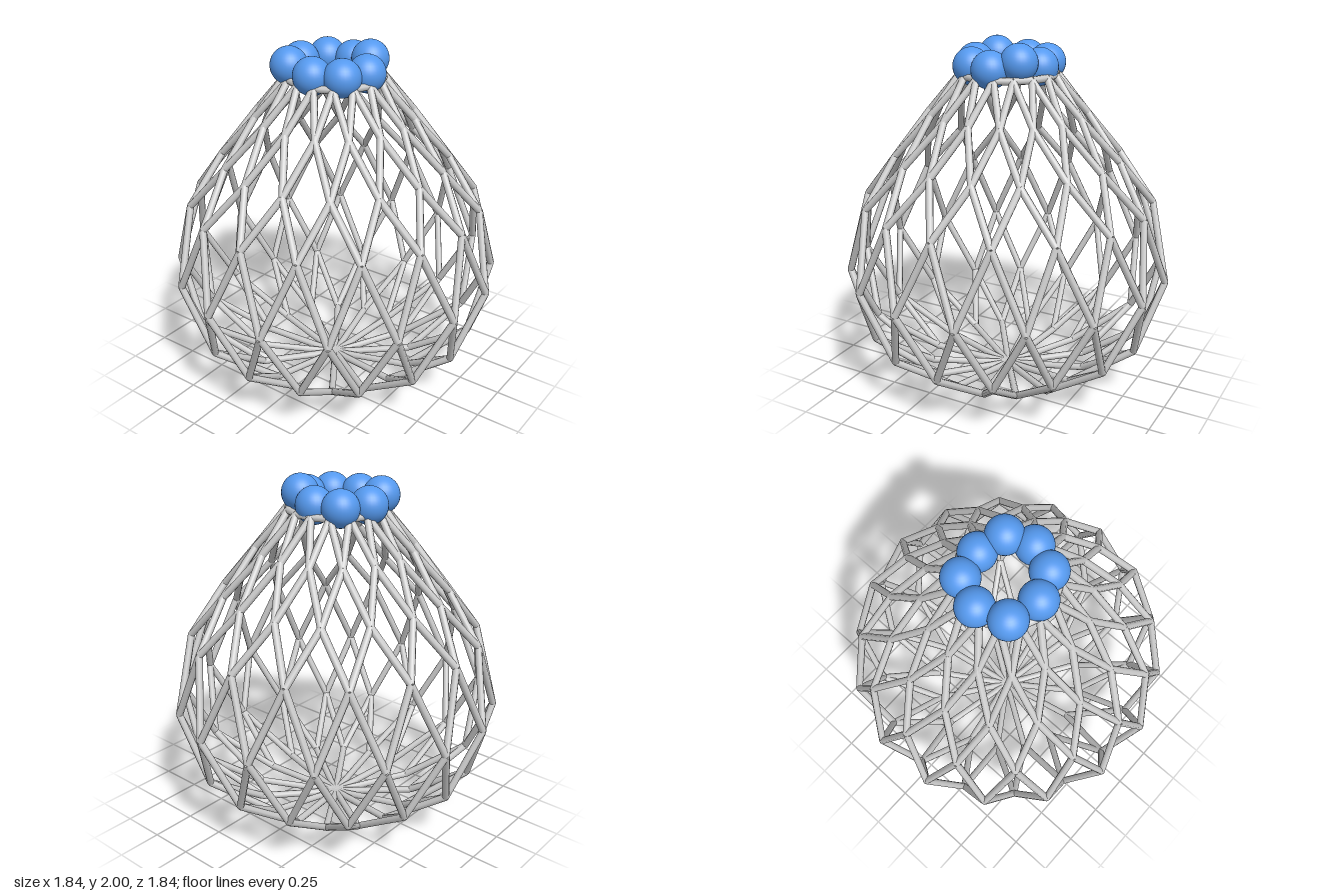
import * as THREE from 'three';

const COUNT = 16;
const STEP = (Math.PI * 2) / COUNT;
const ROD = 0.02;

// Lattice rings from bottom to top: [radius, height]; every other ring is turned half a step
const RINGS = [
  [0.46, 0.065], [0.8, 0.305], [0.918, 0.68], [0.82, 1.095],
  [0.635, 1.355], [0.44, 1.6], [0.265, 1.815],
];

// Beads around the mouth: [x, y, z]
const BEADS = [
  [0, 1.86, 0.205], [0.135, 1.898, 0.135], [0.185, 1.86, -0.01], [0.155, 1.86, -0.165],
  [0, 1.86, -0.232], [-0.17, 1.878, -0.18], [-0.207, 1.86, 0], [-0.145, 1.86, 0.15],
];

function node(ring, i) {
  const [r, y] = RINGS[ring];
  const a = (i + (ring % 2 === 0 ? 0.5 : 0)) * STEP;
  return new THREE.Vector3(Math.sin(a) * r, y, Math.cos(a) * r);
}

function rod(a, b, material, name) {
  const dir = b.clone().sub(a);
  const mesh = new THREE.Mesh(new THREE.CylinderGeometry(ROD, ROD, dir.length(), 8), material);
  mesh.position.copy(a).add(b).multiplyScalar(0.5);
  mesh.quaternion.setFromUnitVectors(new THREE.Vector3(0, 1, 0), dir.normalize());
  mesh.name = name;
  return mesh;
}

export function createModel() {
  const model = new THREE.Group();
  model.name = 'latticeVase';
  const grey = new THREE.MeshStandardMaterial({ color: 0xcccccc });
  const blue = new THREE.MeshStandardMaterial({ color: 0x5599ee });

  const base = new THREE.Group();
  base.name = 'baseSpokes';
  const lattice = new THREE.Group();
  lattice.name = 'lattice';
  const rim = new THREE.Group();
  rim.name = 'rim';
  const crown = new THREE.Group();
  crown.name = 'beadCrown';
  model.add(base, lattice, rim, crown);

  const bottom = new THREE.Vector3(0, 0.02, 0);
  const last = RINGS.length - 1;
  for (let i = 0; i < COUNT; i++) {
    // Spokes meeting at the bottom centre
    base.add(rod(bottom, node(0, i), grey, 'baseSpoke'));

    // Two crossing diagonals from each node up to the next ring
    for (let k = 0; k < last; k++) {
      const side = k % 2 === 0 ? 1 : -1;
      lattice.add(rod(node(k, i), node(k + 1, i), grey, 'latticeRod'));
      lattice.add(rod(node(k, i), node(k + 1, i + side), grey, 'latticeRod'));
    }

    // Ring closing the top of the lattice
    rim.add(rod(node(last, i), node(last, i + 1), grey, 'rimRod'));
  }

  // Beads sitting on the rim
  const beadGeometry = new THREE.SphereGeometry(0.103, 32, 20);
  for (const [x, y, z] of BEADS) {
    const bead = new THREE.Mesh(beadGeometry, blue);
    bead.position.set(x, y, z);
    bead.name = 'bead';
    crown.add(bead);
  }
  return model;
}
